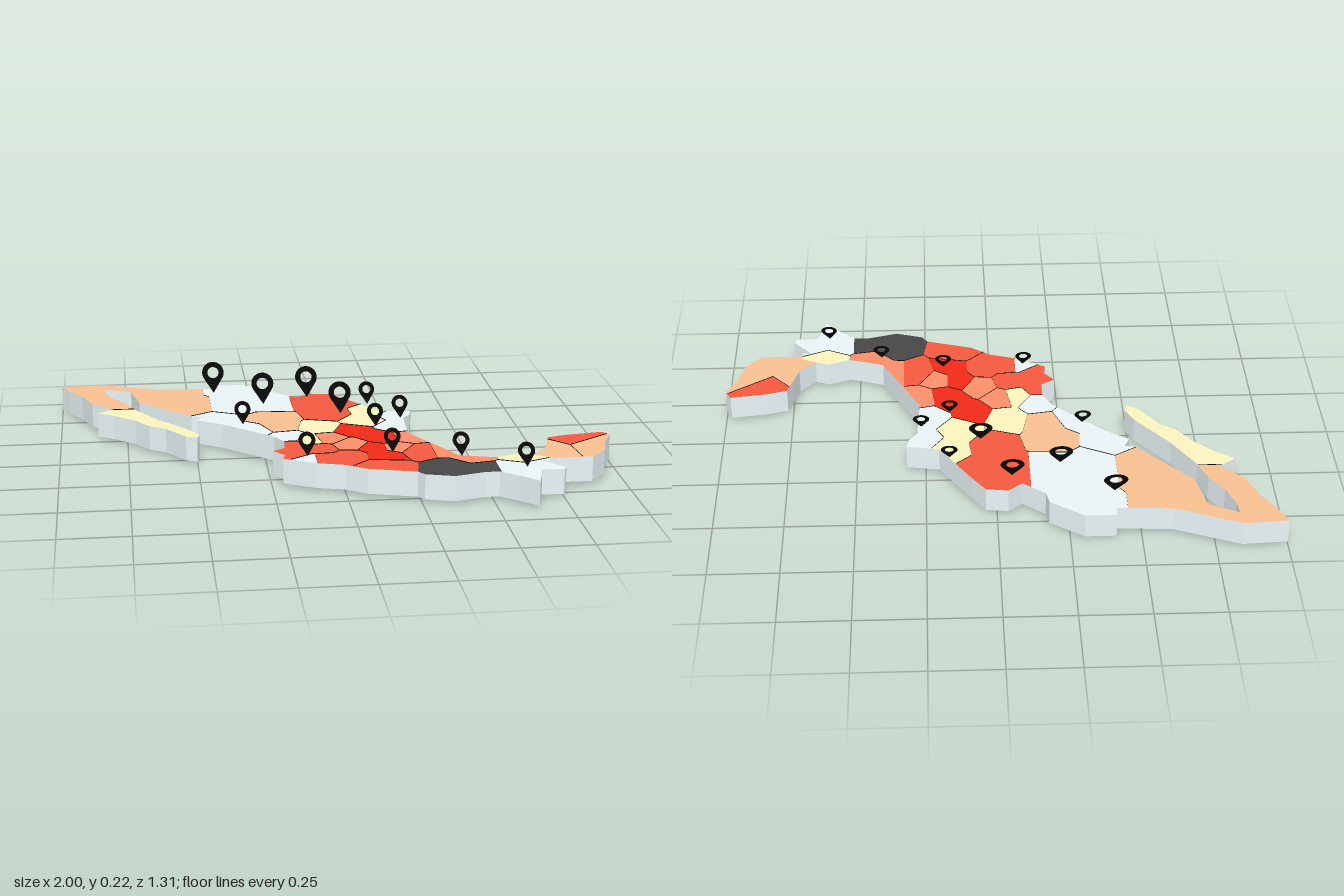
import * as THREE from 'three';
import { mergeGeometries } from 'three/addons/utils/BufferGeometryUtils.js';

const GREY = 0xebf6f8, ORANGE = 0xfbc294, YELLOW = 0xfcf6c0, RED = 0xf55a3f,
  BRIGHT = 0xf52a18, SALMON = 0xfd8f6a, DARK = 0x484848, BLACK = 0x080808;

// Coastlines as x, z pairs in hundredths
const WEST_COAST = [-100, -65, -84, -66, -83, -55, -80, -47, -75, -40, -72, -32, -64, -19, -52, -4, -49, 2, -50, 5,
  -54, 3, -61, -7, -67, -11, -72, -18, -80, -25, -86, -29, -80, -33, -88, -41, -92, -51, -97, -59];
const MAIN_COAST = [-84, -66, -61, -57, -41, -56, -41, -60, -30, -60, -18, -52, -17, -47, -9, -41, -4, -45, 4, -44,
  9, -37, 20, -20, 32, -18, 31, -14, 28, -10, 27, 8, 37, 27, 41, 35, 47, 37, 54, 39, 62, 36, 72, 40, 72, 44, 69, 44,
  76, 52, 75, 54, 67, 54, 64, 65, 58, 59, 52, 54, 47, 54, 36, 57, 26, 54, 24, 51, 7, 46, 0, 41, -10, 38, -21, 32,
  -20, 28, -24, 23, -19, 20, -19, 13, -22, 7, -40, -10, -49, -16, -47, -20, -51, -21, -70, -41, -73, -55, -83.5, -60];
const EAST_COAST = [67, 38, 73, 32, 75, 25, 77, 19, 84, 17, 98, 15, 100, 19, 96, 27, 94, 35, 88, 42, 72, 42, 72, 40];

// Regions: name, colour and centres; each point of land belongs to the nearest centre
const WEST_REGIONS = [
  ['northPeninsula', ORANGE, [-77, -45]],
  ['southPeninsula', YELLOW, [-77, -20]],
];
const MAIN_REGIONS = [
  ['northWestRegion', ORANGE, [-62, -50, -52, -32]],
  ['northRegion', GREY, [-28, -50, -34, -32, -19, -32]],
  ['innerNorthRegion', ORANGE, [-20, -14, -19, -5]],
  ['northCentralRegion', RED, [-5, -32, 6, -34, 0, -18]],
  ['westCoastRegion', GREY, [-42, -15, -29, -1]],
  ['smallWestRegion', GREY, [-17, 8]],
  ['midlandRegion', YELLOW, [-5, -2, -9, 13]],
  ['northEastRegion', YELLOW, [18, -20, 13, -8]],
  ['eastCoastRegion', GREY, [25, -15, 23, 0]],
  ['centralRegion', BRIGHT, [8, 3, 15, 10, 18, 14]],
  ['tinyCentralRegion', SALMON, [-3, 12]],
  ['lowerCentralRegion', SALMON, [4, 19]],
  ['highlandRegion', SALMON, [20, 24]],
  ['capitalRegion', BRIGHT, [15, 32, 13, 24]],
  ['innerEastRegion', RED, [28, 29]],
  ['gulfRegion', SALMON, [26, 13, 38, 29, 46, 38]],
  ['southRegion', DARK, [37, 47, 48, 50]],
  ['southCoastRegion', RED, [13, 43]],
  ['southWestRegion', RED, [3, 32, -6, 34]],
  ['tinyCoastRegion', GREY, [-13, 34]],
  ['westRegion', RED, [-17, 18, -17, 28, -7, 22]],
  ['bayRegion', YELLOW, [62, 39]],
  ['southEastRegion', GREY, [57, 50, 67, 51]],
];
const EAST_REGIONS = [
  ['eastPeninsulaWest', ORANGE, [74, 31]],
  ['eastPeninsulaEast', ORANGE, [92, 29]],
  ['eastPeninsulaNorth', RED, [86, 20]],
];

// Pins as x, z pairs
const BIG_PINS = [-0.41, -0.5, -0.23, -0.33, -0.055, -0.4, 0.05, -0.18];
const SMALL_PINS = [0.165, -0.28, 0.265, -0.09, 0.16, 0, -0.325, -0.08, -0.125, 0.31, 0.18, 0.3, 0.415, 0.37,
  0.62, 0.51];

const TOP = 0.102, BOTTOM = 0.01;
const paint = (color) => new THREE.MeshStandardMaterial({ color, side: THREE.DoubleSide });

// Plan points have y pointing away from the front
function pairs(list, unit) {
  const points = [];
  for (let i = 0; i < list.length; i += 2) points.push({ x: list[i] * unit, y: -list[i + 1] * unit });
  return points;
}

function addMesh(parent, name, geometry, color) {
  const mesh = new THREE.Mesh(geometry, paint(color));
  mesh.name = name;
  parent.add(mesh);
  return mesh;
}

// Keep the part of an outline nearer to p than to q; new edges become borders if asked
function clip(outline, p, q, border) {
  const side = (v) => (v.x - (p.x + q.x) / 2) * (p.x - q.x) + (v.y - (p.y + q.y) / 2) * (p.y - q.y);
  const kept = [];
  outline.forEach((a, i) => {
    const b = outline[(i + 1) % outline.length], sa = side(a), sb = side(b);
    if (sa >= 0) kept.push(a);
    if ((sa >= 0) !== (sb >= 0)) {
      const t = sa / (sa - sb);
      kept.push({ x: a.x + (b.x - a.x) * t, y: a.y + (b.y - a.y) * t, border: sa >= 0 ? border : a.border });
    }
  });
  return kept;
}

// Upright strips, one quad per edge, facing outwards
function wallGeometry(edges, bottomOf, top) {
  const pos = [];
  for (const [a, b] of edges) {
    const low = bottomOf(a, b);
    const al = [a.x, low, -a.y], bl = [b.x, low, -b.y], bh = [b.x, top, -b.y], ah = [a.x, top, -a.y];
    pos.push(...al, ...bl, ...bh, ...al, ...bh, ...ah);
  }
  const g = new THREE.BufferGeometry();
  g.setAttribute('position', new THREE.Float32BufferAttribute(pos, 3));
  g.computeVertexNormals();
  return g;
}

function landmass(name, coast, regions) {
  const land = new THREE.Group();
  land.name = name;
  const outline = pairs(coast, 0.01);
  if (THREE.ShapeUtils.area(outline) < 0) outline.reverse();
  const edgesOf = (points) => points.map((a, i) => [a, points[(i + 1) % points.length]]);

  // Coloured tops, cut from the land around each centre
  const sites = regions.flatMap(([region, , list]) => pairs(list, 0.01).map((p) => ({ ...p, region })));
  const borders = [];
  for (const [region, color] of regions) {
    const pieces = sites.filter((s) => s.region === region).map((s) => {
      let cell = outline;
      for (const other of sites) if (other !== s) cell = clip(cell, s, other, other.region !== region);
      borders.push(...edgesOf(cell).filter(([a]) => a.border));
      const shape = new THREE.Shape(cell.map((v) => new THREE.Vector2(v.x, v.y)));
      return new THREE.ShapeGeometry(shape).rotateX(-Math.PI / 2).translate(0, TOP, 0);
    });
    addMesh(land, region, mergeGeometries(pieces), color);
  }

  // Pale outer wall
  addMesh(land, 'outerWall', wallGeometry(edgesOf(outline), () => BOTTOM, TOP), GREY);

  // Dark partitions, slightly proud of the top and deeper in the middle
  const deep = (a, b) => Math.hypot((a.x + b.x) / 2, (a.y + b.y) / 2 + 0.17) < 0.15;
  const partitions = wallGeometry(borders, (a, b) => (deep(a, b) ? 0 : BOTTOM), TOP + 0.003);
  addMesh(land, 'borderWalls', partitions, BLACK);
  return land;
}

// Flat teardrop marker with a round hole, leaning back from its tip
function addPins(parent, list, r) {
  const start = Math.acos(1 / 1.9) - Math.PI / 2, cy = 1.9 * r;
  const shape = new THREE.Shape();
  shape.moveTo(0, 0);
  shape.lineTo(r * Math.cos(start), cy + r * Math.sin(start));
  shape.absarc(0, cy, r, start, Math.PI - start, false);
  shape.closePath();
  shape.holes.push(new THREE.Path().absarc(0, cy, r * 0.52, 0, Math.PI * 2, true));
  const geometry = new THREE.ShapeGeometry(shape, 24);
  for (const { x, y } of pairs(list, 1)) {
    const pin = addMesh(parent, 'locationPin', geometry, BLACK);
    pin.position.set(x, 0.112, 0.63 * r - y);
    pin.rotation.x = -0.45;
  }
}

export function createModel() {
  const model = new THREE.Group();
  model.name = 'regionMap';
  model.add(
    landmass('westPeninsula', WEST_COAST, WEST_REGIONS),
    landmass('mainland', MAIN_COAST, MAIN_REGIONS),
    landmass('eastPeninsula', EAST_COAST, EAST_REGIONS),
  );
  const pins = new THREE.Group();
  pins.name = 'locationPins';
  addPins(pins, BIG_PINS, 0.042);
  addPins(pins, SMALL_PINS, 0.03);
  model.add(pins);
  return model;
}
